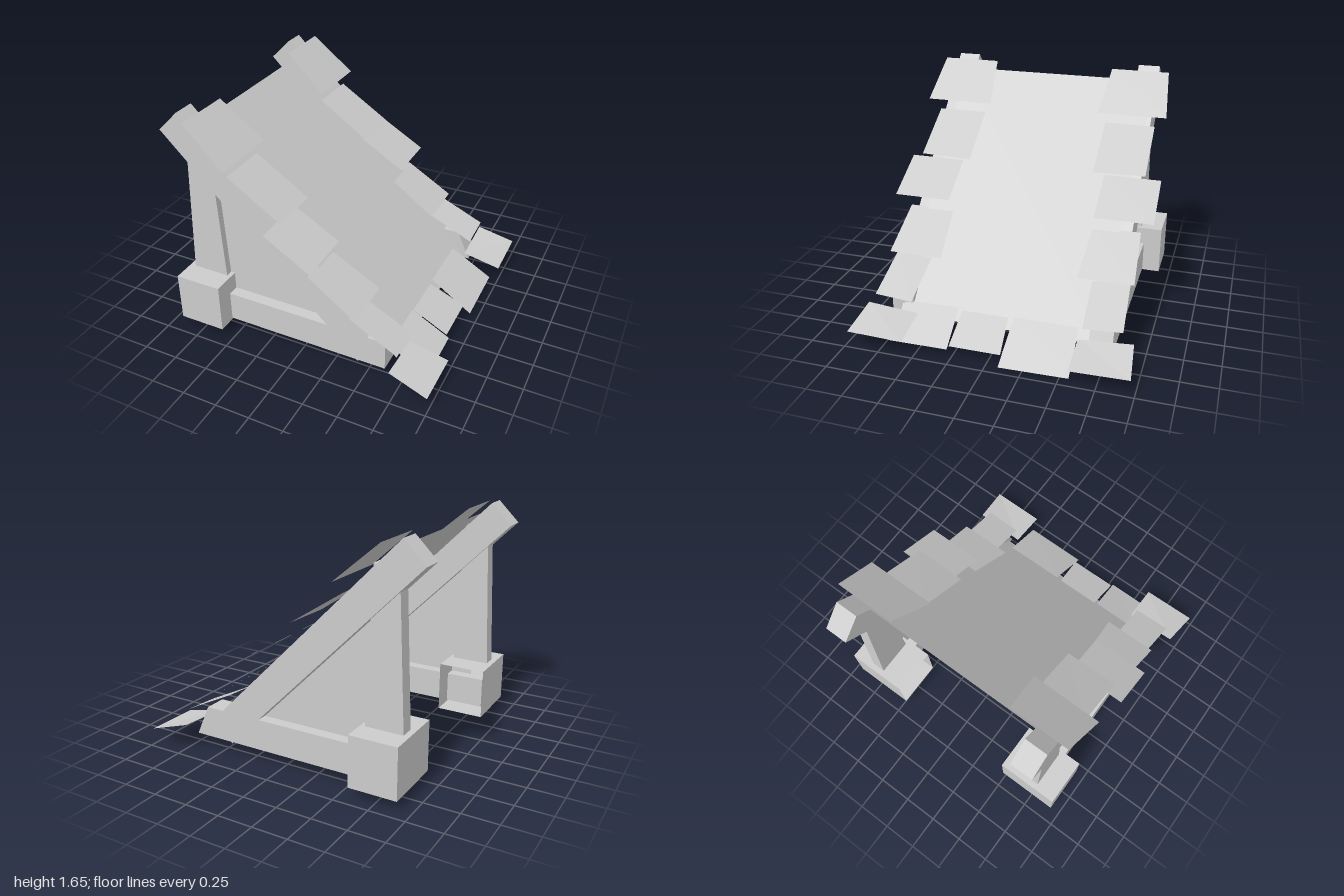
import * as THREE from 'three';

const mat = new THREE.MeshStandardMaterial({ color: 0xcccccc, flatShading: true, side: THREE.DoubleSide });

function add(parent, name, geometry) {
  const mesh = new THREE.Mesh(geometry, mat);
  mesh.name = name;
  parent.add(mesh);
  return mesh;
}

// Side profile in x/y, extruded from z0 to z1
function slab(points, z0, z1) {
  const shape = new THREE.Shape(points.map(([x, y]) => new THREE.Vector2(x, y)));
  const g = new THREE.ExtrudeGeometry(shape, { depth: z1 - z0, bevelEnabled: false });
  return g.translate(0, 0, z0);
}

// Flat four-cornered sheet
function sheet(a, b, c, d) {
  const g = new THREE.BufferGeometry();
  g.setAttribute('position', new THREE.Float32BufferAttribute([...a, ...b, ...c, ...d], 3));
  g.setIndex([0, 1, 2, 0, 2, 3]);
  g.computeVertexNormals();
  return g;
}

// Shingle: upper and lower edges, each [x, y at zA, y at zB, zA, zB]
function shingle([ux, uyA, uyB, uA, uB], [lx, lyA, lyB, lA, lB], s = 1) {
  const p = [[ux, uyA, s * uA], [lx, lyA, s * lA], [lx, lyB, s * lB], [ux, uyB, s * uB]];
  return sheet(...(s > 0 ? p.reverse() : p));
}

const sideShingles = [
  [[-0.75, 1.63, 1.63, 0.455, 0.88], [-0.45, 1.37, 1.37, 0.418, 0.918]],
  [[-0.48, 1.29, 1.29, 0.47, 0.835], [-0.10, 1.035, 1.045, 0.465, 0.84]],
  [[-0.165, 1.0, 1.0, 0.54, 0.945], [0.165, 0.805, 0.805, 0.535, 0.952]],
  [[0.10, 0.705, 0.705, 0.525, 0.86], [0.45, 0.48, 0.48, 0.495, 0.885]],
  [[0.39, 0.44, 0.46, 0.59, 0.852], [0.74, 0.27, 0.29, 0.602, 0.872]],
  [[0.715, 0.17, 0.2, 0.57, 0.942], [0.995, 0.11, 0.12, 0.572, 0.972]],
];

const eaveShingles = [
  [[0.62, 0.21, 0.2, 0.3, 0.7], [0.90, 0.045, 0.04, 0.287, 0.715]],
  [[0.62, 0.19, 0.19, -0.06, 0.275], [0.88, 0.06, 0.06, -0.085, 0.28]],
  [[0.62, 0.2, 0.2, -0.555, -0.1], [0.935, 0.01, 0, -0.565, -0.085]],
];

// Foot block, hollow and open on its inner side
function footBlock(s) {
  const g = new THREE.BoxGeometry(0.34, 0.36, 0.45);
  const face = s > 0 ? 5 : 4; // inner z face
  const index = Array.from(g.index.array);
  index.splice(face * 6, 6);
  g.setIndex(index);
  g.clearGroups();
  return g.translate(-0.74, 0.25, s * 0.705);
}

export function createModel() {
  const model = new THREE.Group();
  model.name = 'slopedRoof';

  for (const s of [1, -1]) {
    const frame = new THREE.Group();
    frame.name = s > 0 ? 'frontFrame' : 'backFrame';
    model.add(frame);
    const span = (inner, outer) => (s > 0 ? [inner, outer] : [-outer, -inner]);

    // Rafter, sill beam and tapered post
    add(frame, 'rafter', slab([[-1, 1.5], [0.43, 0.07], [0.58, 0.22], [-0.85, 1.65]], ...span(0.64, 0.8)));
    const sillEnd = s > 0 ? 0.63 : 0.73; // the back sill has a slanted end
    add(frame, 'sillBeam', slab([[-0.85, 0.08], [sillEnd, 0.08], [0.63, 0.3], [-0.85, 0.3]], ...span(0.64, 0.8)));
    add(frame, 'post', slab([[-0.87, 0.4], [-0.6, 0.4], [-0.65, 1.48], [-0.82, 1.48]], ...span(0.67, 0.77)));
    add(frame, 'footBlock', footBlock(s));

    // Thin gable wall inside the frame
    const z = s * 0.72;
    add(frame, 'gableWall', sheet([-0.73, 0.2, z], [0.4, 0.2, z], [0.4, 0.25, z], [-0.73, 1.38, z]));

    for (const [upper, lower] of sideShingles) add(frame, 'sideShingle', shingle(upper, lower, s));
  }

  // Roof surface
  add(model, 'roofPanel', sheet([-0.75, 1.56, 0.72], [0.68, 0.13, 0.72], [0.68, 0.13, -0.72], [-0.75, 1.56, -0.72]));

  // Loose shingles along the eave
  for (const [upper, lower] of eaveShingles) add(model, 'eaveShingle', shingle(upper, lower));

  return model;
}
